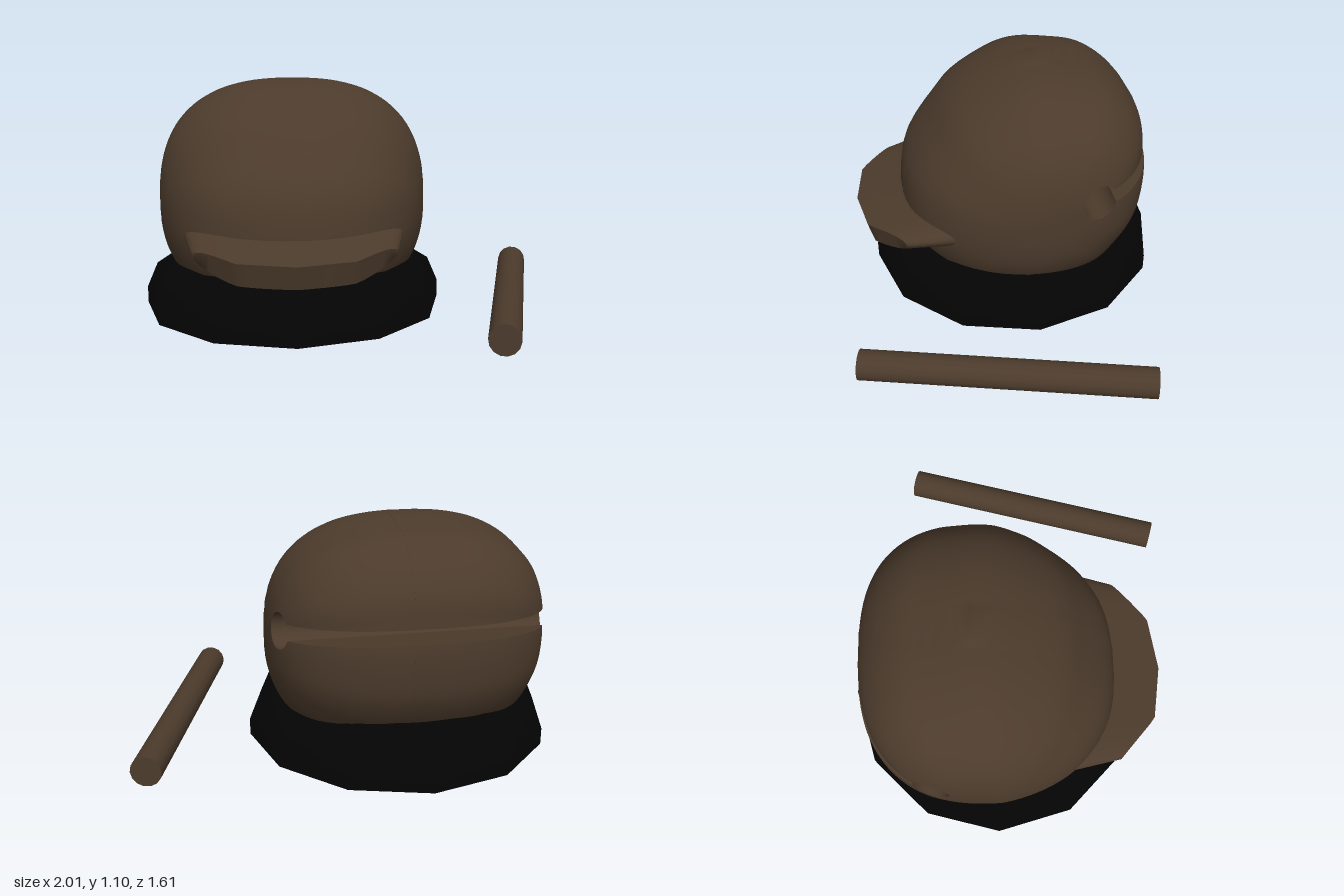
import * as THREE from 'three';
import { toCreasedNormals } from 'three/addons/utils/BufferGeometryUtils.js';

const wood = new THREE.MeshStandardMaterial({ color: 0x4c3b2c, side: THREE.DoubleSide });
wood.name = 'dark wood';
const cloth = new THREE.MeshStandardMaterial({ color: 0x040404, side: THREE.DoubleSide });
cloth.name = 'black cushion';

const CX = -0.28; // sideways centre of block and cushion

// Side outline of the block as [z, y], running from the back lip over the top and round underneath
const OUTLINE = [
  [-0.70, 0.72], [-0.685, 0.84], [-0.61, 0.965], [-0.49, 1.055], [-0.36, 1.085], [-0.155, 1.105],
  [0, 1.065], [0.224, 0.94], [0.32, 0.83], [0.42, 0.7], [0.465, 0.61], [0.485, 0.5], [0.49, 0.36],
  [0.45, 0.24], [0.32, 0.09], [-0.06, 0], [-0.46, 0.09], [-0.62, 0.26], [-0.69, 0.39],
  [-0.715, 0.53], [-0.715, 0.65],
];
const outline = new THREE.CatmullRomCurve3(
  OUTLINE.map(([z, y]) => new THREE.Vector3(z, y, 0)), true).getPoints(84);

// Distance from (z, y) along a direction to the outline
function reach(z, y, dz, dy) {
  let best = 0;
  for (let i = 0; i < outline.length - 1; i++) {
    const a = outline[i], b = outline[i + 1];
    const ez = b.x - a.x, ey = b.y - a.y, det = dz * ey - dy * ez;
    if (Math.abs(det) < 1e-9) continue;
    const t = ((a.x - z) * ey - (a.y - y) * ez) / det;
    const s = ((a.x - z) * dy - (a.y - y) * dz) / det;
    if (s >= -1e-6 && s <= 1 + 1e-6 && t > best) best = t;
  }
  return best;
}

// Half width of the block at a point of its side view, tapering towards the front
function halfWidth(z, y) {
  const taper = 0.645 * (1 - 0.25 * Math.max(0, z + 0.06));
  const dz = z + 0.13, dy = y - 0.53, d = Math.hypot(dz, dy);
  if (d < 1e-4) return taper;
  const rho = Math.min(0.998, d / reach(-0.13, 0.53, dz / d, dy / d));
  return taper * Math.pow(1 - Math.pow(rho, 2.6), 0.4);
}

function geometryFrom(positions, crease) {
  const g = new THREE.BufferGeometry();
  g.setAttribute('position', new THREE.Float32BufferAttribute(positions, 3));
  return toCreasedNormals(g, crease);
}

const quad = (out, a, b, c, d) => { for (const p of [a, b, c, a, c, d]) out.push(...p); };

// Block: two bulging sides around a keyhole slot cut right through
function blockGeometry() {
  const M = 84, N = 28, HZ = -0.38, HY = 0.64, R = 0.083, FLOOR = 0.23;
  const rad = THREE.MathUtils.degToRad, lerp = THREE.MathUtils.lerp;
  const grid = [];
  for (let i = 0; i <= M; i++) {
    const inA = rad(lerp(143, -165, i / M)), outA = rad(lerp(166, -182.6, i / M));
    const dz = Math.cos(outA), dy = Math.sin(outA);
    let len = reach(HZ, HY, dz, dy);
    if (dy < 0) len = Math.min(len, (FLOOR - HY) / dy);
    const row = [];
    for (let j = 0; j <= N; j++) {
      const t = 1 - Math.pow(1 - j / N, 2.2);
      const z = lerp(HZ + R * Math.cos(inA), HZ + len * dz, t);
      const y = lerp(HY + R * Math.sin(inA), HY + len * dy, t);
      row.push([halfWidth(z, y), y, z]);
    }
    grid.push(row);
  }
  const out = [];
  const at = (i, j, s) => [s * grid[i][j][0], grid[i][j][1], grid[i][j][2]];
  const wall = (i, j, k, l) => quad(out, at(k, l, -1), at(i, j, -1), at(i, j, 1), at(k, l, 1));
  for (let i = 0; i < M; i++) {
    for (let j = 0; j < N; j++) {
      quad(out, at(i, j, -1), at(i + 1, j, -1), at(i + 1, j + 1, -1), at(i, j + 1, -1));
      quad(out, at(i, j, 1), at(i, j + 1, 1), at(i + 1, j + 1, 1), at(i + 1, j, 1));
    }
    wall(i, 0, i + 1, 0); // round hole
    wall(i + 1, N, i, N); // rim and underside
  }
  for (let j = 0; j < N; j++) {
    wall(0, j + 1, 0, j); // upper slot face
    wall(M, j, M, j + 1); // lower slot face
  }
  return geometryFrom(out, 1.0);
}

// Handle lip: a broad tongue that flares out of the block to a five-cornered front edge
function lipGeometry() {
  const U = 32, K = 10, out = [];
  const point = (iu, k, s) => {
    const u = Math.sin((iu / U - 0.5) * Math.PI), t = k / K, a = Math.abs(u);
    const front = a < 0.57 ? 0.72 - 0.07 * a : 0.68 - 0.4 * (a - 0.57);
    const thin = Math.sqrt(Math.max(0, 1 - Math.pow(a, 6)));
    const z = 0.12 + (front - 0.12) * t, f = (z - 0.12) / 0.6;
    const top = 0.535 - 0.145 * f, bottom = 0.325 - 0.04 * f + 0.045 * a * a * a;
    const tilt = k === K && s < 0 ? -0.03 : 0;
    return [u * (0.535 - 0.09 * t), (top + bottom) / 2 + s * thin * (top - bottom) / 2, z + tilt * thin];
  };
  for (let i = 0; i < U; i++) {
    for (let k = 0; k < K; k++) {
      quad(out, point(i, k, 1), point(i, k + 1, 1), point(i + 1, k + 1, 1), point(i + 1, k, 1));
      quad(out, point(i, k, -1), point(i + 1, k, -1), point(i + 1, k + 1, -1), point(i, k + 1, -1));
    }
    quad(out, point(i, K, -1), point(i + 1, K, -1), point(i + 1, K, 1), point(i, K, 1));
  }
  return geometryFrom(out, 1.0);
}

function addMesh(group, name, geometry, material, x, y, z) {
  const mesh = new THREE.Mesh(geometry, material);
  mesh.name = name;
  mesh.position.set(x, y, z);
  group.add(mesh);
  return mesh;
}

export function createModel() {
  const model = new THREE.Group();
  model.name = 'woodenPercussionBlock';

  addMesh(model, 'block', blockGeometry(), wood, CX, 0, 0);
  addMesh(model, 'handleLip', lipGeometry(), wood, CX, 0, 0);

  // Twelve-sided cushion ring, open underneath
  const profile = [[0.722, 0.01], [0.722, 0.09], [0.67, 0.21], [0.57, 0.265], [0.5, 0.255], [0.41, 0.215]];
  const ring = new THREE.LatheGeometry(profile.map(([r, y]) => new THREE.Vector2(r, y)), 12);
  addMesh(model, 'cushionRing', ring, cloth, CX, 0, -0.083);

  // Mallet lying on the ground beside the block
  const start = new THREE.Vector3(0.58, 0.075, 0.783), end = new THREE.Vector3(0.935, 0.075, -0.508);
  const half = start.distanceTo(end) / 2;
  const stick = new THREE.CylinderGeometry(0.071, 0.071, half * 2, 14);
  const mallet = addMesh(model, 'mallet', stick, wood, 0, 0, 0);
  mallet.position.copy(start).lerp(end, 0.5);
  mallet.quaternion.setFromUnitVectors(new THREE.Vector3(0, 1, 0), end.clone().sub(start).normalize());

  return model;
}
